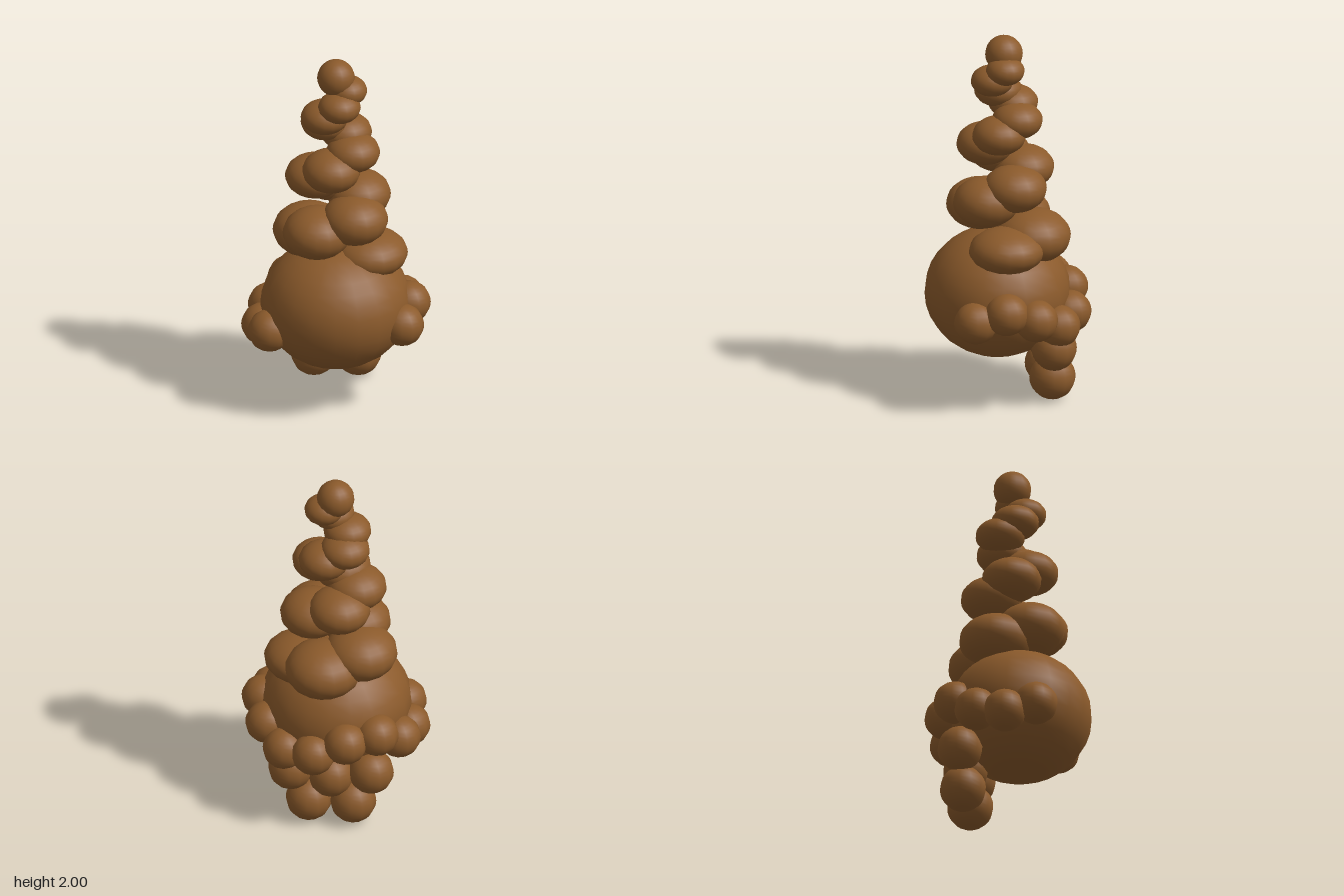
import * as THREE from 'three';

const brown = new THREE.MeshStandardMaterial({ color: 0x8b5a2b });
brown.name = 'brown';

// Ellipsoid with equal x and z radii unless rz is given
function ball(name, [x, y, z], r, ry = r, segments = 16, rz = r) {
  const mesh = new THREE.Mesh(new THREE.SphereGeometry(1, segments, 16), brown);
  mesh.name = name;
  mesh.position.set(x, y, z);
  mesh.scale.set(r, ry, rz);
  return mesh;
}

export function createModel() {
  const model = new THREE.Group();
  model.name = 'hairdo';

  // Large rounded body
  model.add(ball('body', [0, 0.575, 0.05], 0.4, 0.347, 20, 0.387));

  // Tapering spiral of flattened puffs: x, y, z, radius, half height
  const spiral = new THREE.Group();
  spiral.name = 'spiral';
  [
    [0.18, 0.86, 0.02, 0.2, 0.12],
    [0.05, 0.895, -0.13, 0.205, 0.145],
    [-0.14, 0.96, -0.05, 0.195, 0.14],
    [-0.1, 1.035, 0.13, 0.182, 0.135],
    [0.1, 1.11, 0.12, 0.176, 0.132],
    [0.12, 1.185, -0.03, 0.17, 0.125],
    [-0.03, 1.255, -0.09, 0.165, 0.117],
    [-0.11, 1.325, 0.03, 0.16, 0.113],
    [-0.025, 1.395, 0.11, 0.155, 0.112],
    [0.09, 1.475, 0.05, 0.143, 0.103],
    [0.055, 1.545, -0.05, 0.135, 0.098],
    [-0.055, 1.61, -0.04, 0.132, 0.092],
    [-0.06, 1.68, 0.04, 0.127, 0.088],
    [0.018, 1.758, 0.08, 0.113, 0.082],
    [0.062, 1.825, 0.015, 0.103, 0.077],
  ].forEach(([x, y, z, r, ry]) => spiral.add(ball('spiralPuff', [x, y, z], r, ry)));
  spiral.add(ball('topBall', [0, 1.9, 0.015], 0.1));
  model.add(spiral);

  // Wreath around sides and back: mirrored in plan, with its own heights per side
  const wreath = new THREE.Group();
  wreath.name = 'wreath';
  [
    [0.35, 0.2, 0.52, 0.485],
    [0.385, 0.04, 0.573, 0.44],
    [0.35, -0.12, 0.52, 0.475],
    [0.245, -0.25, 0.45, 0.57],
    [0.085, -0.325, 0.475, 0.555],
  ].forEach(([x, z, yLeft, yRight]) => {
    wreath.add(ball('leftCurl', [x, yLeft, z], 0.116, 0.113, 12));
    wreath.add(ball('rightCurl', [-x, yRight, z], 0.116, 0.113, 12));
  });
  model.add(wreath);

  // Curls hanging at the nape
  const nape = new THREE.Group();
  nape.name = 'nape';
  nape.add(ball('middleNapeCurl', [0, 0.285, -0.235], 0.12, 0.12, 12));
  for (const side of [1, -1]) {
    nape.add(ball('upperNapeCurl', [side * 0.213, 0.315, -0.23], 0.12, 0.12, 12));
    nape.add(ball('lowerNapeCurl', [side * 0.117, 0.125, -0.23], 0.123, 0.123, 12));
  }
  model.add(nape);

  return model;
}
